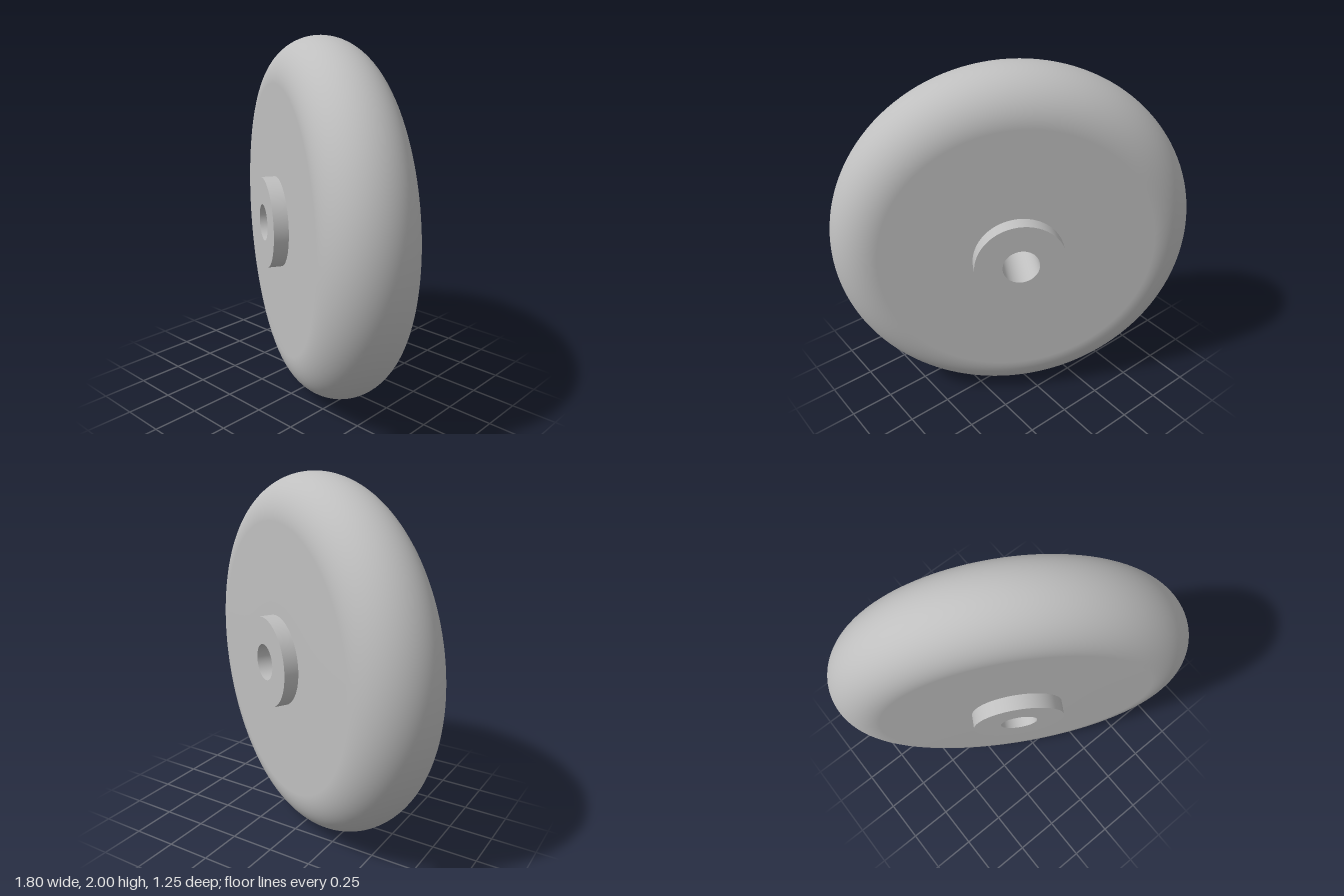
import * as THREE from 'three';

const WHEEL_R = 1, HALF_W = 0.25, HUB_R = 0.25, HUB_HALF = 0.33, BORE_R = 0.1;

export function createModel() {
  const grey = new THREE.MeshStandardMaterial({ color: 0xbfbfbf });
  grey.name = 'light grey';

  const model = new THREE.Group();
  model.name = 'wheel';

  // All parts are turned around the axle
  const turned = (name, points) => {
    const profile = points.map(([r, y]) => new THREE.Vector2(r, y));
    const mesh = new THREE.Mesh(new THREE.LatheGeometry(profile, 128), grey);
    mesh.name = name;
    return mesh;
  };

  const axle = new THREE.Group();
  axle.name = 'wheelBody';

  // Disc with flat sides and a fully rounded rim
  const disc = [[HUB_R, -HALF_W]];
  const steps = 36;
  for (let i = 0; i <= steps; i++) {
    const a = -Math.PI / 2 + (Math.PI * i) / steps;
    disc.push([WHEEL_R - HALF_W + HALF_W * Math.cos(a), HALF_W * Math.sin(a)]);
  }
  disc.push([HUB_R, HALF_W]);
  axle.add(turned('disc', disc));

  // Hub on each side: wall and ring face kept separate for crisp edges
  for (const [side, flip] of [['front', 0], ['back', Math.PI]]) {
    const hub = new THREE.Group();
    hub.name = side + 'Hub';
    hub.add(turned('hubWall', [[HUB_R, HALF_W], [HUB_R, HUB_HALF]]));
    hub.add(turned('hubFace', [[HUB_R, HUB_HALF], [BORE_R, HUB_HALF]]));
    hub.rotation.x = flip;
    axle.add(hub);
  }

  // Through hole, facing inward
  axle.add(turned('bore', [[BORE_R, HUB_HALF], [BORE_R, -HUB_HALF]]));

  // Stand the wheel up and swivel it
  axle.rotation.x = Math.PI / 2;
  model.add(axle);
  model.rotation.y = -Math.PI / 6;
  model.position.y = WHEEL_R;

  const root = new THREE.Group();
  root.name = 'model';
  root.add(model);
  return root;
}
